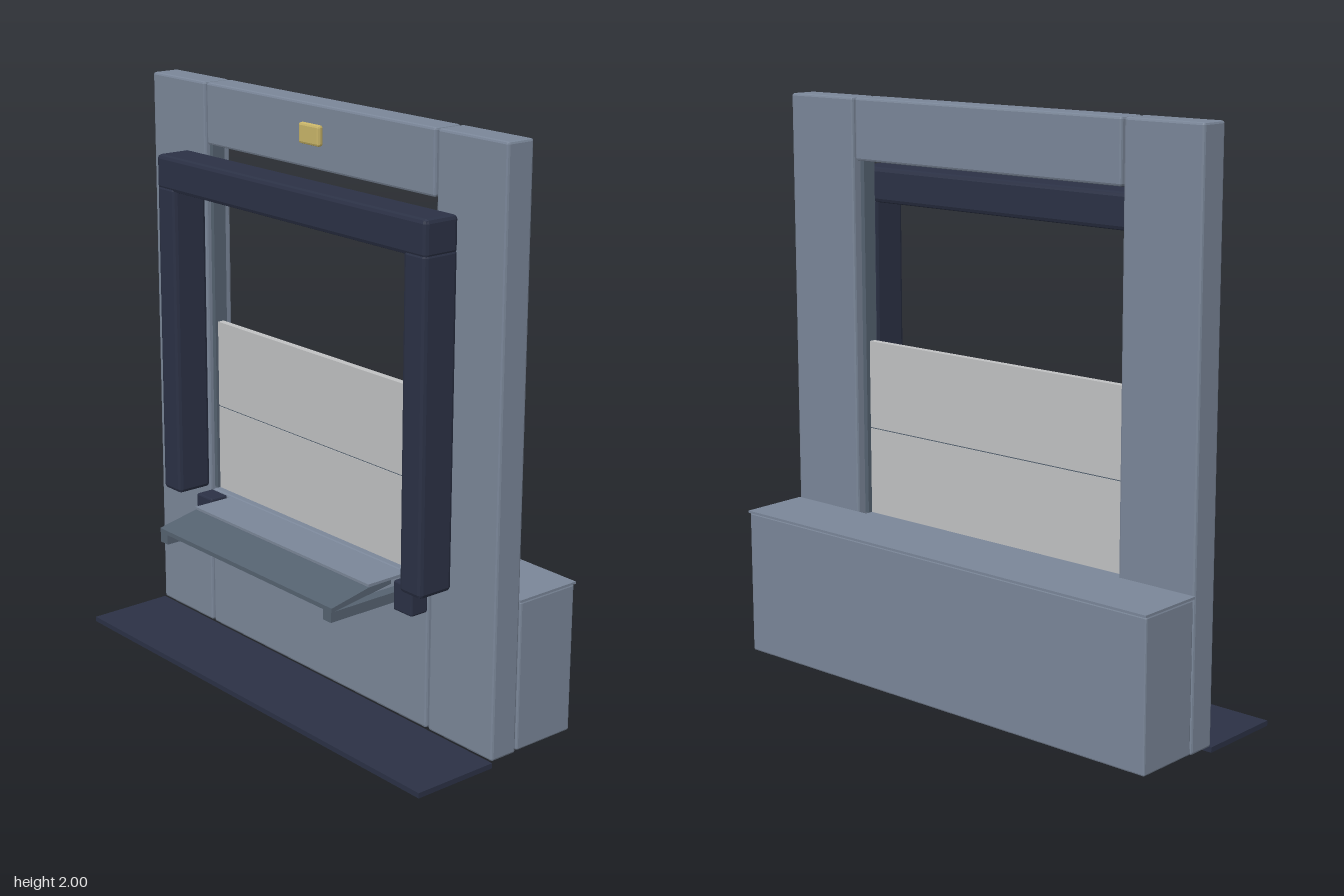
import * as THREE from 'three';
import { RoundedBoxGeometry } from 'three/addons/geometries/RoundedBoxGeometry.js';

const material = (name, color) => {
  const m = new THREE.MeshStandardMaterial({ color });
  m.name = name;
  return m;
};

export function createModel() {
  const model = new THREE.Group();
  model.name = 'loadingDock';
  const wall = material('wallSlate', 0x7a8698);
  const dark = material('darkRubber', 0x2b3145);
  const steel = material('steel', 0x556270);
  const door = material('doorGrey', 0xc0c1c2);
  const gold = material('lampGold', 0xc8b468);

  // Box given by its limits on each axis, with optional chamfered edges
  function block(name, mat, [x0, x1], [y0, y1], [z0, z1], chamfer = 0) {
    const size = [x1 - x0, y1 - y0, z1 - z0];
    let geo;
    if (chamfer) {
      geo = new RoundedBoxGeometry(...size, 1, chamfer);
      geo.computeVertexNormals();
    } else {
      geo = new THREE.BoxGeometry(...size);
    }
    const mesh = new THREE.Mesh(geo, mat);
    mesh.name = name;
    mesh.position.set((x0 + x1) / 2, (y0 + y1) / 2, (z0 + z1) / 2);
    model.add(mesh);
    return mesh;
  }

  // The same box on both sides, x limits given for the +x side
  function pair(name, mat, [x0, x1], y, z, chamfer) {
    block(name + 'Left', mat, [x0, x1], y, z, chamfer);
    block(name + 'Right', mat, [-x1, -x0], y, z, chamfer);
  }

  // Wall panels around the opening
  const wallZ = [-0.085, 0.02];
  pair('wallPillar', wall, [0.585, 0.885], [0.02, 2], wallZ, 0.008);
  block('wallLintel', wall, [-0.575, 0.575], [1.787, 2], wallZ, 0.008);
  block('wallSill', wall, [-0.575, 0.575], [0.02, 0.537], wallZ, 0.008);

  // Sectional door, half open, with its side tracks
  block('doorPanelLower', door, [-0.567, 0.567], [0.537, 0.843], [-0.035, -0.01]);
  block('doorPanelUpper', door, [-0.567, 0.567], [0.847, 1.155], [-0.035, -0.01]);
  block('doorSeam', steel, [-0.566, 0.566], [0.842, 0.848], [-0.033, -0.012]);
  pair('doorTrack', steel, [0.568, 0.586], [0.537, 1.787], [-0.05, 0.0]);

  // Padded shelter frame
  pair('shelterPost', dark, [0.585, 0.685], [0.542, 1.65], [0.02, 0.155], 0.014);
  block('shelterHead', dark, [-0.685, 0.685], [1.633, 1.755], [0.02, 0.155], 0.014);

  // Rear platform
  block('platformBody', wall, [-0.885, 0.885], [0.025, 0.537], [-0.328, -0.09], 0.006);
  block('platformDeck', wall, [-0.887, 0.887], [0.537, 0.545], [-0.333, -0.085]);

  // Dock leveller: flat plate, sloping lip and support arms
  block('levellerPlate', wall, [-0.465, 0.465], [0.525, 0.534], [0.0, 0.177]);
  const lipSide = new THREE.Shape([
    [0.08, 0.512], [0.33, 0.477], [0.33, 0.492], [0.177, 0.523], [0.08, 0.526],
  ].map(([z, y]) => new THREE.Vector2(-z, y)));
  const lipGeo = new THREE.ExtrudeGeometry(lipSide, { depth: 0.93, bevelEnabled: false });
  lipGeo.rotateY(Math.PI / 2).translate(-0.465, 0, 0);
  const lip = new THREE.Mesh(lipGeo, steel);
  lip.name = 'levellerLip';
  model.add(lip);
  pair('lipArm', steel, [0.422, 0.462], [0.442, 0.477], [0.02, 0.33]);

  // Rubber bumpers
  pair('bumper', dark, [0.487, 0.575], [0.432, 0.535], [0.02, 0.09], 0.006);

  // Ground apron
  block('apron', dark, [-0.887, 0.887], [0.0, 0.018], [0.02, 0.333]);

  // Signal lamp and control box
  block('signalLamp', gold, [-0.052, 0.05], [1.868, 1.937], [0.02, 0.043], 0.008);
  block('controlBox', gold, [-0.793, -0.715], [1.068, 1.137], [0.02, 0.043], 0.008);

  return model;
}
